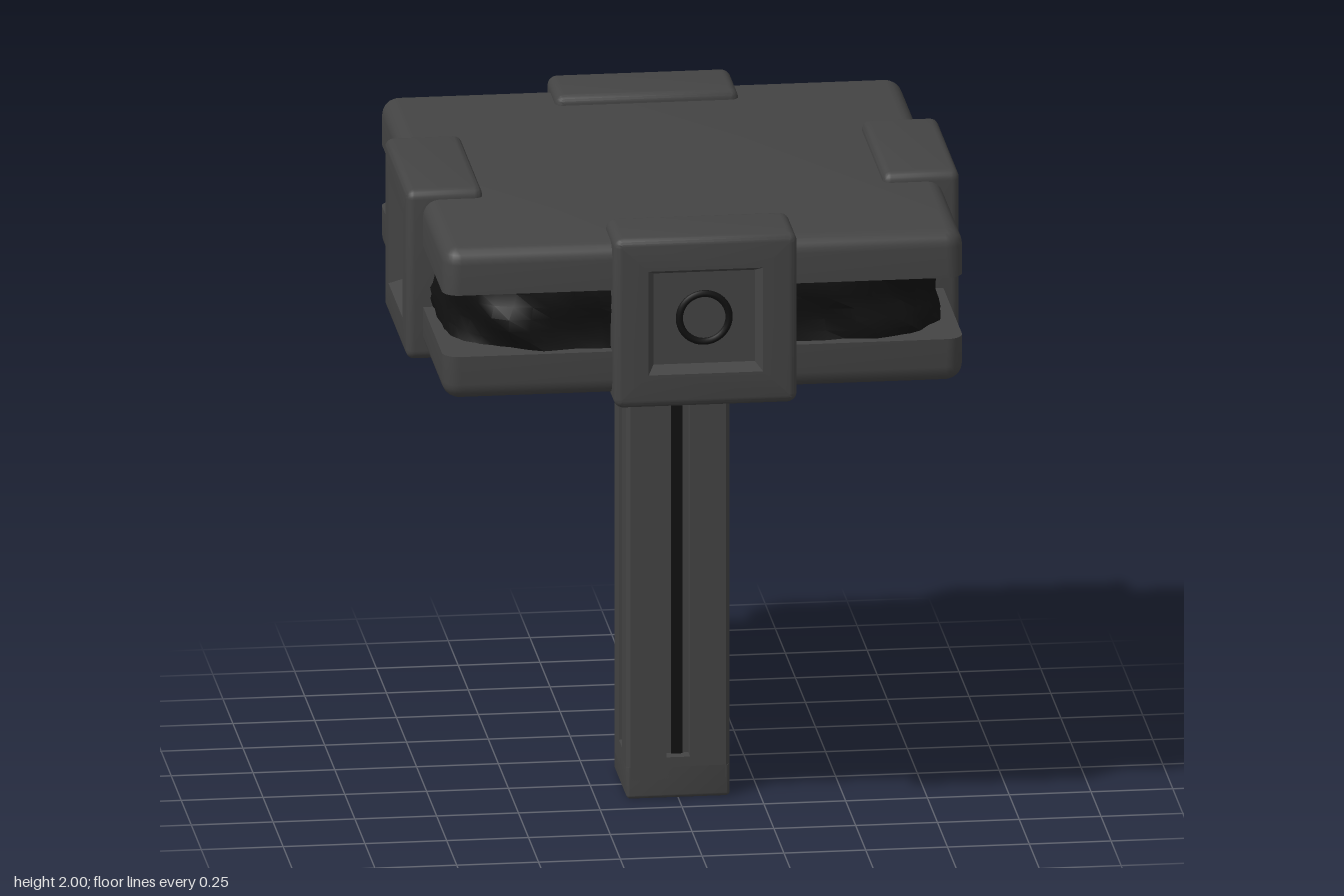
import * as THREE from 'three';
import { toCreasedNormals } from 'three/addons/utils/BufferGeometryUtils.js';

const grey = new THREE.MeshStandardMaterial({ color: 0x444444 });
const black = new THREE.MeshStandardMaterial({ color: 0x111111 });

// Skin rounded rectangles stacked along y; profile rows are [inset, cornerRadius, y].
function loft(hx, hz, profile, steps = 6, warp = null) {
  const pos = [], index = [];
  let n = 0;
  for (const [inset, radius, y] of profile) {
    const w = Math.max(0, hx - inset), d = Math.max(0, hz - inset);
    const r = Math.min(radius, w, d);
    const ring = [];
    for (let q = 0; q < 4; q++) {
      const sx = q === 0 || q === 3 ? 1 : -1, sz = q < 2 ? 1 : -1;
      for (let k = 0; k <= steps; k++) {
        const a = (q + k / steps) * Math.PI / 2;
        ring.push([sx * (w - r) + r * Math.cos(a), sz * (d - r) + r * Math.sin(a)]);
      }
      // extra points along the straight side, for warped parts
      if (warp) {
        const [x0, z0] = ring[ring.length - 1];
        for (let k = 1; k < 12; k++) {
          const t = k / 12;
          ring.push(q % 2 ? [x0, z0 * (1 - 2 * t)] : [x0 * (1 - 2 * t), z0]);
        }
      }
    }
    n = ring.length;
    for (const [x, z] of ring) {
      const s = warp ? warp(x, y, z) : 1;
      pos.push(x * s, y, z * s);
    }
  }
  for (let i = 0; i < profile.length - 1; i++) {
    for (let j = 0; j < n; j++) {
      const a = i * n + j, b = i * n + (j + 1) % n;
      index.push(a, a + n, b + n, a, b + n, b);
    }
  }
  const g = new THREE.BufferGeometry();
  g.setAttribute('position', new THREE.Float32BufferAttribute(pos, 3));
  g.setIndex(index);
  return toCreasedNormals(g, 0.6);
}

// Quarter-round edge rows: at the bottom (rising from y) or at the top (ending at y).
function edge(r, corner, y, top) {
  const rows = [];
  for (let k = 0; k <= 5; k++) {
    const a = k / 5 * Math.PI / 2;
    const inset = top ? r * (1 - Math.cos(a)) : r * (1 - Math.sin(a));
    rows.push([inset, Math.max(0.005, corner - inset), top ? y - r + r * Math.sin(a) : y + r - r * Math.cos(a)]);
  }
  return rows;
}

function add(parent, name, geometry, material) {
  const mesh = new THREE.Mesh(geometry, material);
  mesh.name = name;
  parent.add(mesh);
  return mesh;
}

// Square post section, optionally with a slot in each side.
function postSection(y0, y1, slotted) {
  const h = 0.158, c = 0.012, s = 0.036, d = 0.045;
  const shape = new THREE.Shape();
  for (let q = 0; q < 4; q++) {
    const side = [[h, -h + c]];
    if (slotted) side.push([h, -s], [h - d, -s], [h - d, s], [h, s]);
    side.push([h, h - c]);
    const co = Math.round(Math.cos(q * Math.PI / 2)), si = Math.round(Math.sin(q * Math.PI / 2));
    side.forEach(([x, y], i) => {
      const px = x * co - y * si, py = x * si + y * co;
      if (q === 0 && i === 0) shape.moveTo(px, py);
      else shape.lineTo(px, py);
    });
  }
  const g = new THREE.ExtrudeGeometry(shape, { depth: y1 - y0, bevelEnabled: false });
  return g.rotateX(-Math.PI / 2).translate(0, y0, 0);
}

export function createModel() {
  const model = new THREE.Group();

  // Two slabs, rounded on their outer faces
  const h = 0.795;
  add(model, 'topSlab', loft(h, h, [
    [h, 0, 1.825], [0, 0.05, 1.825], ...edge(0.05, 0.055, 1.97, true), [h, 0, 1.97]]), grey);
  add(model, 'bottomSlab', loft(h, h, [
    [h, 0, 1.49], ...edge(0.05, 0.055, 1.49, false), [0, 0.05, 1.63], [h, 0, 1.63]]), grey);

  // Rough dark core between the slabs
  const coreRows = [];
  for (let k = 0; k <= 6; k++) coreRows.push([0, 0.3, 1.62 + 0.215 * k / 6]);
  const rough = (x, y, z) => 0.985
    + 0.012 * Math.sin(17 * x + 23 * y + 5 * z) + 0.01 * Math.sin(13 * z - 31 * y + 9 * x)
    + 0.008 * Math.sin(37 * x - 29 * z + 41 * y);
  add(model, 'roughCore', loft(0.77, 0.77, coreRows, 8, rough), black);

  // Four edge clamps with a recessed panel and ring
  const clampGeometry = loft(0.28, 0.27, [
    [0.28, 0, 0.612], ...edge(0.025, 0.03, 0.612, false), ...edge(0.025, 0.03, 0.845, true),
    [0.105, 0, 0.845], [0.125, 0, 0.8], [0.28, 0, 0.8]]).rotateX(Math.PI / 2);
  const ringGeometry = new THREE.TorusGeometry(0.076, 0.011, 10, 40);
  for (let i = 0; i < 4; i++) {
    const clamp = new THREE.Group();
    clamp.name = 'edgeClamp' + (i + 1);
    add(clamp, 'clampBlock', clampGeometry, grey);
    add(clamp, 'clampRing', ringGeometry, black).position.z = 0.802;
    clamp.position.y = 1.73;
    clamp.rotation.y = i * Math.PI / 2;
    model.add(clamp);
  }

  // Collar under the slabs
  const collar = [[0.3, 1.5], [0.3, 1.435], [0.315, 1.42], [0.43, 1.42], [0.444, 1.426], [0.45, 1.44], [0.45, 1.5]]
    .map(([x, y]) => new THREE.Vector2(x, y));
  add(model, 'collarRing', toCreasedNormals(new THREE.LatheGeometry(collar, 64), 0.6), black);
  add(model, 'collarDisc', new THREE.CylinderGeometry(0.305, 0.305, 0.05, 48), grey).position.y = 1.475;

  // Square post with a slot and dark strip on each side
  const post = new THREE.Group();
  post.name = 'post';
  add(post, 'postFoot', loft(0.158, 0.158, [
    [0.158, 0, 0], ...edge(0.012, 0.014, 0, false), [0, 0.014, 0.1], [0.158, 0, 0.1]]), grey);
  add(post, 'postBase', postSection(0.06, 0.13, false), grey);
  add(post, 'postShaft', postSection(0.13, 1.36, true), grey);
  add(post, 'postHead', postSection(1.36, 1.48, false), grey);
  const stripGeometry = new THREE.BoxGeometry(0.034, 1.23, 0.02).translate(0, 0.745, 0.112);
  for (let i = 0; i < 4; i++) add(post, 'slotStrip', stripGeometry, black).rotation.y = i * Math.PI / 2;
  model.add(post);

  return model;
}
